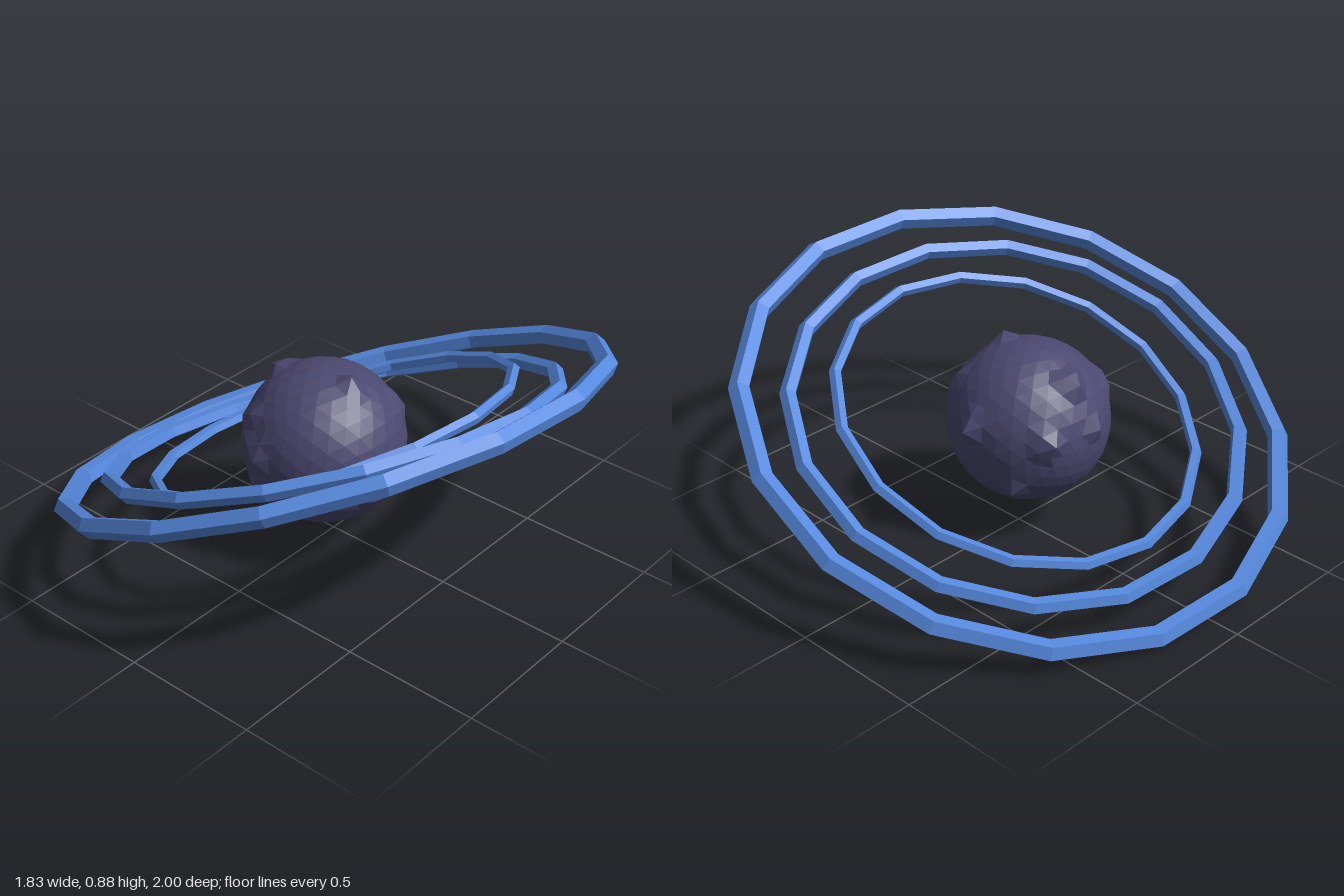
import * as THREE from 'three';

const planetPurple = new THREE.MeshStandardMaterial({ color: 0x4b4870, flatShading: true });
planetPurple.name = 'planet purple';
const ringBlue = new THREE.MeshStandardMaterial({ color: 0x5588dd, flatShading: true });
ringBlue.name = 'ring blue';

const planetRadius = 0.29;

// Directions and heights of the jagged peaks on the planet
const peaks = [
  [0, 0.08, -0.32], [-0.23, 0.24, 0], [-0.27, 0.05, -0.17], [0.13, 0.29, 0],
  [0.3, -0.11, 0.03], [0.09, -0.3, -0.03], [-0.08, 0.05, 0.31], [-0.3, 0.06, 0.03],
  [0.2, 0.15, -0.19], [-0.17, 0.13, 0.23], [0.15, -0.1, 0.25], [-0.1, -0.15, 0.25],
  [-0.15, -0.15, -0.23],
].map((p) => new THREE.Vector3(...p));

// Faceted ball with sharp bumps pulled out of its surface
function createPlanet() {
  const geometry = new THREE.IcosahedronGeometry(planetRadius, 5);
  const pos = geometry.attributes.position;
  const v = new THREE.Vector3();
  for (let i = 0; i < pos.count; i++) {
    v.fromBufferAttribute(pos, i);
    let radius = planetRadius;
    for (const peak of peaks) {
      const closeness = Math.max(0, 1 - v.angleTo(peak) / 0.21);
      radius += (peak.length() + 0.01 - planetRadius) * closeness;
    }
    v.setLength(radius);
    pos.setXYZ(i, v.x, v.y, v.z);
  }
  geometry.computeVertexNormals();
  const planet = new THREE.Mesh(geometry, planetPurple);
  planet.name = 'planet';
  planet.position.set(0, 0.41, 0.05);
  return planet;
}

// Sixteen-sided ring with a five-sided section, lying on a plane of the given slopes
function createRing(name, radius, tube, phase, slopeX, slopeZ) {
  const geometry = new THREE.TorusGeometry(radius, tube, 5, 16);
  geometry.rotateZ(-phase);
  geometry.rotateX(Math.PI / 2);
  const ring = new THREE.Mesh(geometry, ringBlue);
  ring.name = name;
  const normal = new THREE.Vector3(-slopeX, 1, -slopeZ).normalize();
  ring.quaternion.setFromUnitVectors(new THREE.Vector3(0, 1, 0), normal);
  ring.position.y = 0.447;
  return ring;
}

export function createModel() {
  const model = new THREE.Group();
  model.name = 'ringedPlanet';
  model.add(
    createPlanet(),
    createRing('innerRing', 0.655, 0.022, 0, 0.455, 0.03),
    createRing('middleRing', 0.803, 0.03, 0.085, 0.42, 0.125),
    createRing('outerRing', 0.973, 0.038, 0.135, 0.45, 0.073),
  );
  return model;
}
